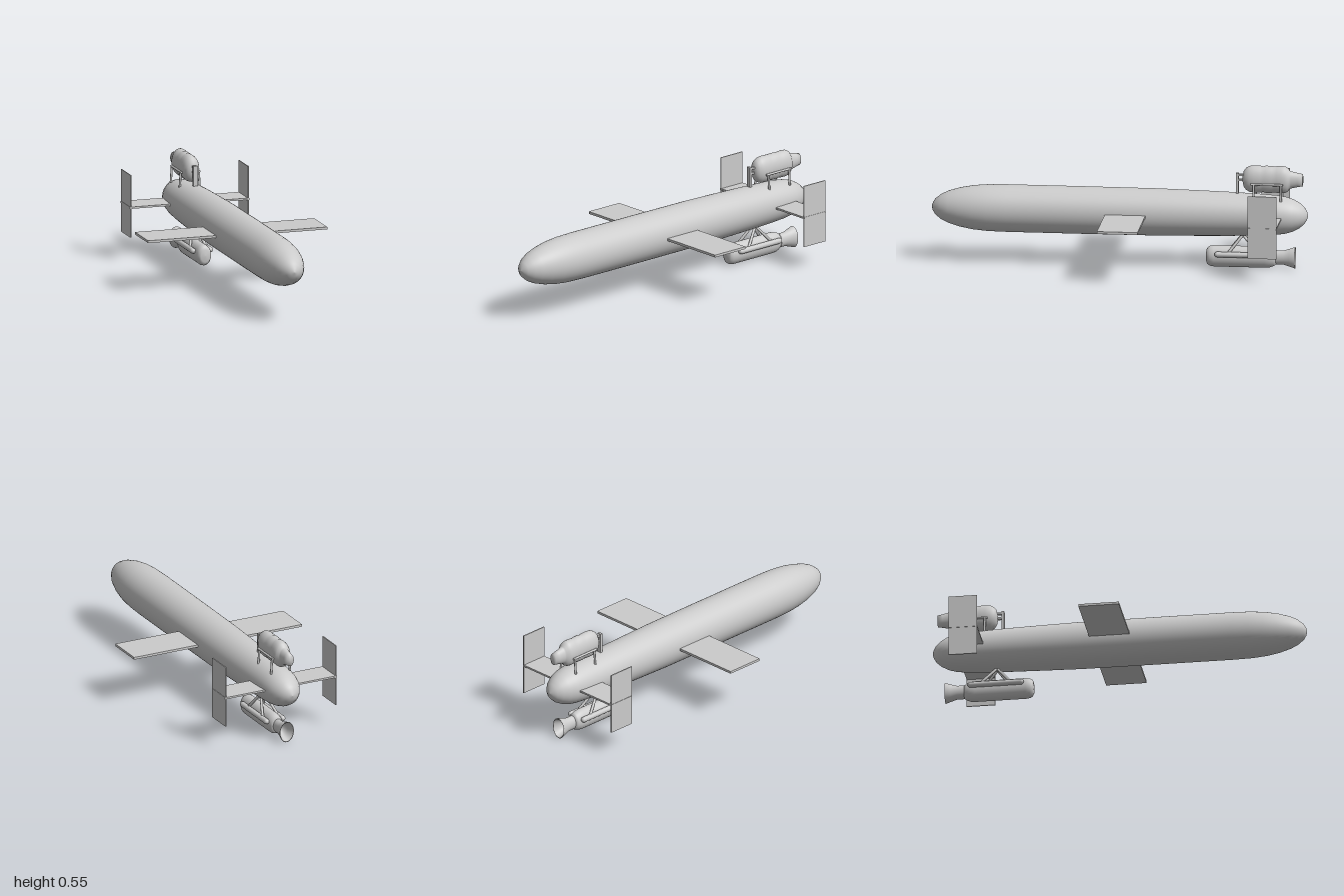
import * as THREE from 'three';

const mat = new THREE.MeshStandardMaterial({ color: 0xcccccc });
const openMat = new THREE.MeshStandardMaterial({ color: 0xcccccc, side: THREE.DoubleSide });

function add(parent, name, geometry, x = 0, y = 0, z = 0, material = mat) {
  const mesh = new THREE.Mesh(geometry, material);
  mesh.name = name;
  mesh.position.set(x, y, z);
  parent.add(mesh);
  return mesh;
}

// Surface of revolution along z from [z, radius] pairs listed tail to nose
function spindle(profile, sx, sy, segments = 40) {
  const g = new THREE.LatheGeometry(profile.map(([z, r]) => new THREE.Vector2(r, z)), segments);
  return g.rotateX(Math.PI / 2).scale(sx, sy, 1);
}

// Round rod between two points
function rod(parent, name, a, b, r) {
  const from = new THREE.Vector3(...a), to = new THREE.Vector3(...b);
  const dir = to.clone().sub(from);
  const mesh = add(parent, name, new THREE.CylinderGeometry(r, r, dir.length(), 12));
  mesh.position.copy(from).add(to).multiplyScalar(0.5);
  mesh.quaternion.setFromUnitVectors(new THREE.Vector3(0, 1, 0), dir.normalize());
  return mesh;
}

export function createModel() {
  const model = new THREE.Group();
  model.name = 'missile';
  const axisY = 0.294;

  // Fuselage: long rounded nose, gentle taper to a blunt tail
  add(model, 'fuselage', spindle([
    [-1, 0], [-0.994, 0.022], [-0.98, 0.045], [-0.955, 0.067], [-0.92, 0.086], [-0.88, 0.098],
    [-0.83, 0.105], [-0.75, 0.110], [-0.6, 0.116], [-0.4, 0.121], [-0.2, 0.125], [0.2, 0.126],
    [0.6, 0.126], [0.7, 0.124], [0.78, 0.117], [0.85, 0.104], [0.91, 0.086], [0.95, 0.067],
    [0.98, 0.043], [0.994, 0.022], [1, 0],
  ], 0.97, 1, 64), 0, axisY, 0);

  // Wings, tailplanes and end fins
  for (const s of [1, -1]) {
    add(model, 'wing', new THREE.BoxGeometry(0.42, 0.013, 0.216), s * 0.29, axisY, -0.04);
    add(model, 'tailplane', new THREE.BoxGeometry(0.28, 0.01, 0.152), s * 0.193, axisY, -0.791);
    add(model, 'endFin', new THREE.BoxGeometry(0.006, 0.338, 0.152), s * 0.328, 0.302, -0.791);
  }

  // Upper pod: oval ribbed tank with a tapered tail nozzle
  const upper = new THREE.Group();
  upper.name = 'upperPod';
  model.add(upper);
  add(upper, 'upperTank', spindle([
    [-0.972, 0], [-0.972, 0.033], [-0.945, 0.038], [-0.91, 0.046], [-0.902, 0.05], [-0.892, 0.064],
    [-0.878, 0.071], [-0.86, 0.073], [-0.835, 0.072], [-0.822, 0.069], [-0.808, 0.072],
    [-0.775, 0.073], [-0.762, 0.069], [-0.748, 0.072], [-0.715, 0.073], [-0.69, 0.070],
    [-0.67, 0.059], [-0.658, 0.042], [-0.653, 0.02], [-0.652, 0],
  ], 0.64, 1), 0, 0.487, 0);

  // Front bracket
  add(upper, 'frontStrut', new THREE.BoxGeometry(0.024, 0.115, 0.014), 0, 0.46, -0.624);
  for (const y of [0.508, 0.48]) {
    add(upper, 'frontLink', new THREE.BoxGeometry(0.018, 0.01, 0.05), 0, y, -0.645);
  }

  // Side rails on two legs
  for (const s of [1, -1]) {
    rod(upper, 'sideRail', [s * 0.05, 0.468, -0.70], [s * 0.05, 0.468, -0.87], 0.006);
    for (const z of [-0.715, -0.86]) {
      rod(upper, 'sideLeg', [s * 0.05, 0.47, z], [s * 0.056, 0.38, z], 0.006);
    }
  }

  // Lower pod: oval motor with a hollow flared nozzle
  const lower = new THREE.Group();
  lower.name = 'lowerPod';
  model.add(lower);
  add(lower, 'motor', spindle([
    [-0.83, 0], [-0.83, 0.038], [-0.815, 0.048], [-0.795, 0.055], [-0.77, 0.057],
    [-0.50, 0.057], [-0.48, 0.054], [-0.467, 0.046], [-0.46, 0.033], [-0.458, 0],
  ], 0.73, 1), 0, 0.064, 0);
  add(lower, 'nozzle', spindle([
    [-0.85, 0], [-0.85, 0.022], [-0.89, 0.036], [-0.932, 0.052], [-0.932, 0.058],
    [-0.90, 0.047], [-0.87, 0.038], [-0.82, 0.038],
  ], 0.73, 1), 0, 0.064, 0).material = openMat;

  // Round-ended side rails hung from inverted V struts
  for (const s of [1, -1]) {
    const rail = add(lower, 'lowerRail', new THREE.CapsuleGeometry(0.015, 0.27, 8, 16), s * 0.048, 0.083, -0.657);
    rail.rotation.x = Math.PI / 2;
    for (const z of [-0.575, -0.745]) {
      rod(lower, 'hangerStrut', [s * 0.046, 0.085, z], [s * 0.01, 0.185, -0.655], 0.0075);
    }
  }
  return model;
}
